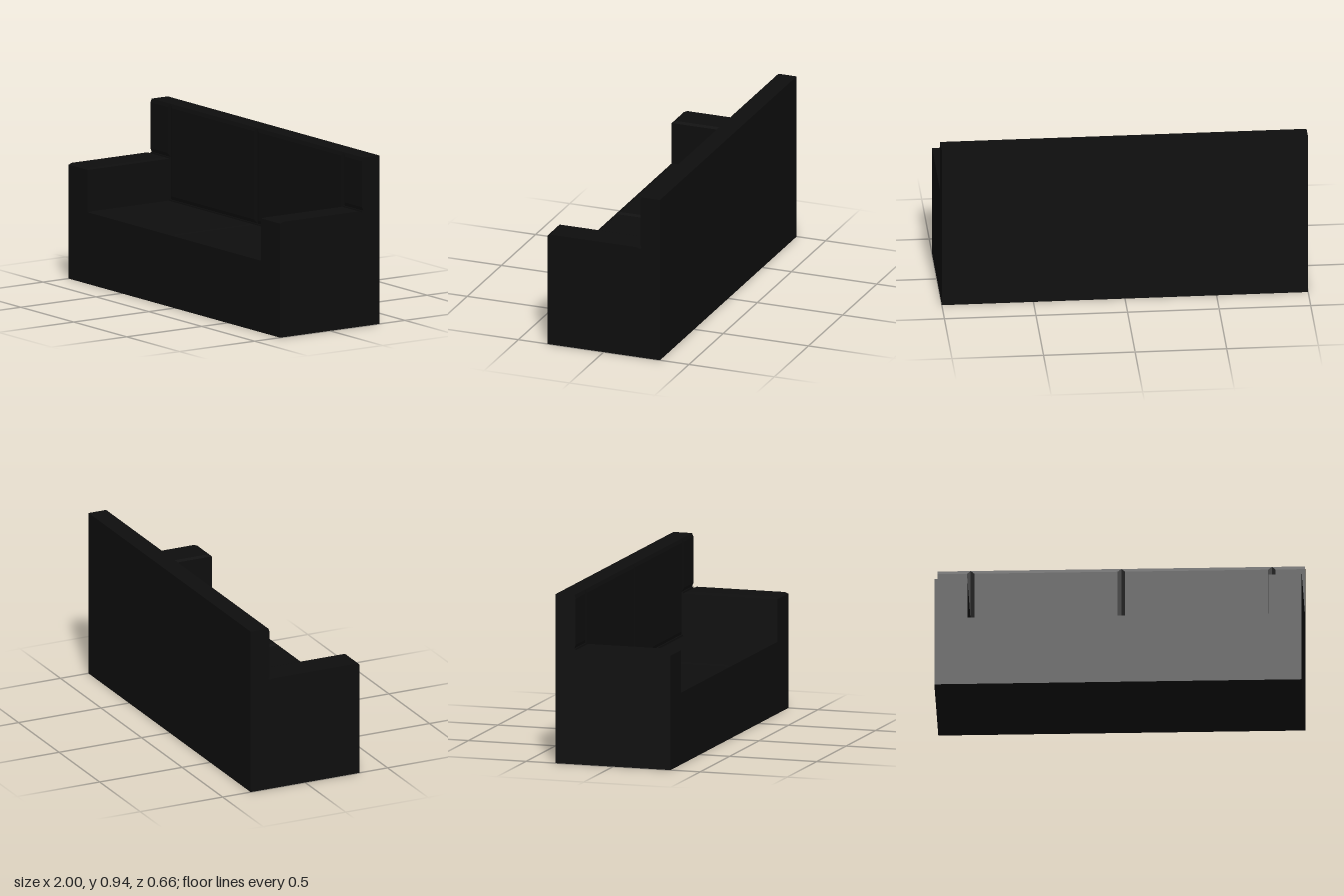
import * as THREE from 'three';
import { ConvexGeometry } from 'three/addons/geometries/ConvexGeometry.js';

const INSET = 0.02, DEPTH = 0.008; // shallow chamfer around each upholstered face
const SEAT_Y = 0.405, ARM_Y = 0.64, TOP_Y = 0.935;
const ARM_X = 0.82, FRONT_Z = 0.33, BACK_Z = -0.215;

export function createModel() {
  const sofa = new THREE.Group();
  sofa.name = 'sofa';
  const material = new THREE.MeshStandardMaterial({ color: 0x0d0d0d, flatShading: true });

  function add(name, points) {
    const mesh = new THREE.Mesh(new ConvexGeometry(points), material);
    mesh.name = name;
    sofa.add(mesh);
  }

  // Block whose upper face is chamfered; the outer side stays square where asked.
  function topBlock(name, x0, x1, y0, y1, insetL, insetR) {
    const points = [];
    const ring = (y, l, r, d) => {
      for (const x of [x0 + l, x1 - r])
        for (const z of [BACK_Z + d, FRONT_Z - d]) points.push(new THREE.Vector3(x, y, z));
    };
    ring(y0, 0, 0, 0);
    ring(y1 - DEPTH, 0, 0, 0);
    ring(y1, insetL, insetR, INSET);
    add(name, points);
  }

  // Upright block whose front face is chamfered.
  function backBlock(name, x0, x1, y0, insetL, insetR) {
    const points = [];
    const ring = (z, l, r, d) => {
      for (const x of [x0 + l, x1 - r])
        for (const y of [y0 + d, TOP_Y - d]) points.push(new THREE.Vector3(x, y, z));
    };
    ring(-FRONT_Z, 0, 0, 0);
    ring(BACK_Z - DEPTH, 0, 0, 0);
    ring(BACK_Z, insetL, insetR, INSET);
    add(name, points);
  }

  // Lower part of the back, closing the rear down to the floor
  const depth = BACK_Z + FRONT_Z;
  const lower = (name, x0, x1, h) => {
    const mesh = new THREE.Mesh(new THREE.BoxGeometry(x1 - x0, h, depth), material);
    mesh.position.set((x0 + x1) / 2, h / 2, -FRONT_Z + depth / 2);
    mesh.name = name;
    sofa.add(mesh);
  };
  lower('rearBase', -ARM_X, ARM_X, SEAT_Y);

  // Two seats, two backrests, and an arm with its back corner on each side
  for (const [side, s] of [['left', 1], ['right', -1]]) {
    const inner = s > 0 ? [0, ARM_X] : [-ARM_X, 0];
    const outer = s > 0 ? [ARM_X, 1] : [-1, -ARM_X];
    const cut = s > 0 ? [INSET, 0] : [0, INSET];
    topBlock(side + 'Seat', ...inner, 0, SEAT_Y, INSET, INSET);
    backBlock(side + 'Backrest', ...inner, SEAT_Y, INSET, INSET);
    topBlock(side + 'Arm', ...outer, 0, ARM_Y, ...cut);
    backBlock(side + 'BackCorner', ...outer, ARM_Y, ...cut);
    lower(side + 'RearCorner', ...outer, ARM_Y);
  }
  return sofa;
}
